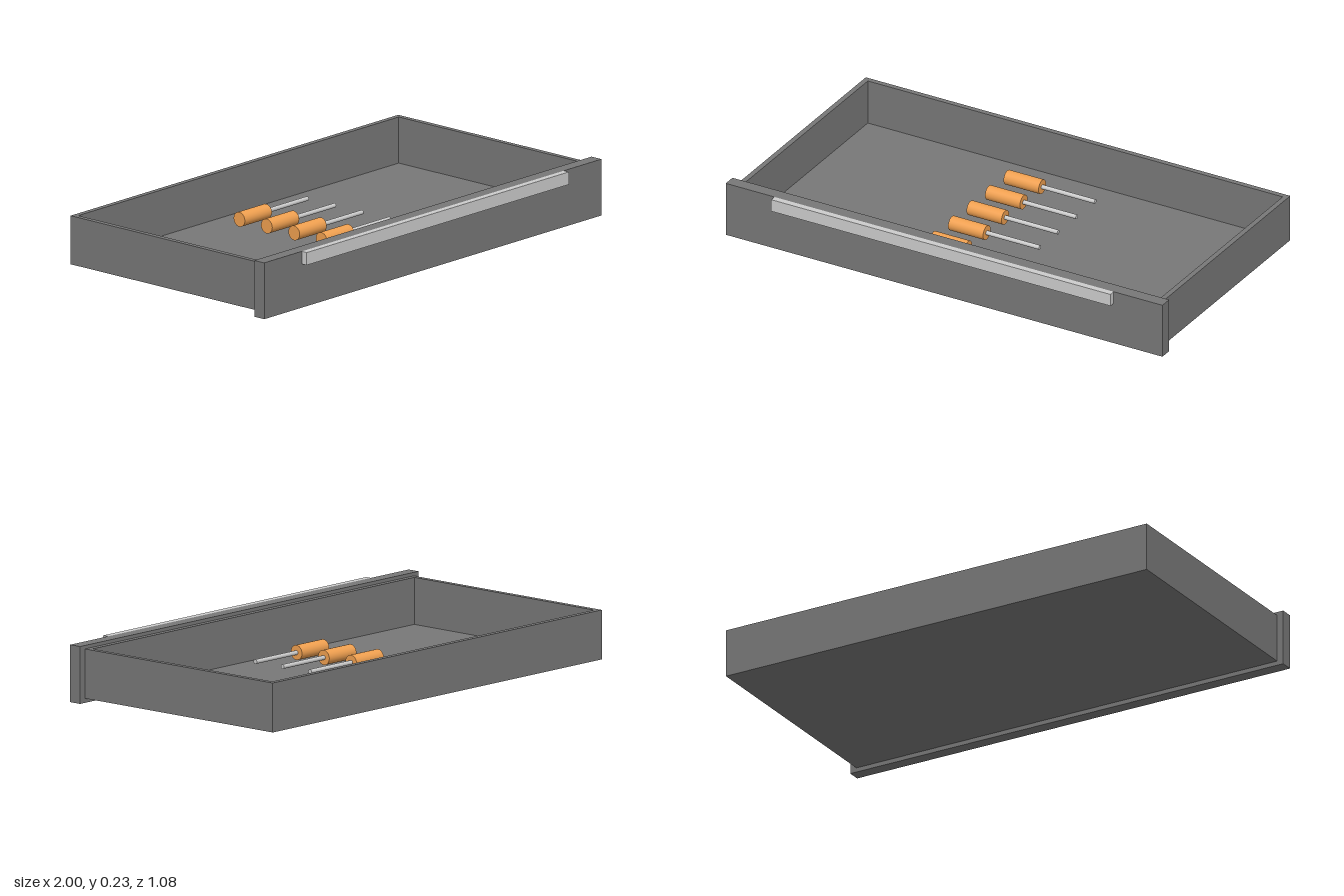
import * as THREE from 'three';

const darkGrey = new THREE.MeshStandardMaterial({ color: 0x777777 });
const lightGrey = new THREE.MeshStandardMaterial({ color: 0xcccccc });
const orange = new THREE.MeshStandardMaterial({ color: 0xf0a050 });

// Box given by its minimum and maximum corners
function box(name, material, min, max) {
  const size = max.map((v, i) => v - min[i]);
  const mesh = new THREE.Mesh(new THREE.BoxGeometry(...size), material);
  mesh.position.set(...max.map((v, i) => (v + min[i]) / 2));
  mesh.name = name;
  return mesh;
}

// Cylinder lying along x from x0 to x1
function rod(name, material, radius, x0, x1) {
  const geometry = new THREE.CylinderGeometry(radius, radius, x1 - x0, 24);
  geometry.rotateZ(-Math.PI / 2);
  geometry.translate((x0 + x1) / 2, 0, 0);
  const mesh = new THREE.Mesh(geometry, material);
  mesh.name = name;
  return mesh;
}

function rectangle(path, x, z0, z1) {
  path.moveTo(-x, z0);
  path.lineTo(x, z0);
  path.lineTo(x, z1);
  path.lineTo(-x, z1);
  path.closePath();
  return path;
}

export function createModel() {
  const group = new THREE.Group();
  group.name = 'drawer';

  const bottom = 0.018, top = 0.218, back = -0.541, front = 0.462, wall = 0.022, halfWidth = 0.972;

  // Four walls as one rectangular ring, extruded upwards
  const ring = rectangle(new THREE.Shape(), halfWidth, -front, -back);
  ring.holes.push(rectangle(new THREE.Path(), halfWidth - wall, -front + wall, -back - wall));
  const wallGeometry = new THREE.ExtrudeGeometry(ring, { depth: top - bottom, bevelEnabled: false });
  wallGeometry.rotateX(-Math.PI / 2);
  const walls = new THREE.Mesh(wallGeometry, darkGrey);
  walls.position.y = bottom;
  walls.name = 'walls';
  group.add(walls);

  // Floor, front panel and pull bar
  const inner = halfWidth - wall;
  group.add(
    box('floor', darkGrey, [-inner, bottom, back + wall], [inner, bottom + 0.01, front - wall]),
    box('frontPanel', darkGrey, [-1, 0, front], [1, 0.232, 0.515]),
    box('pullBar', lightGrey, [-0.777, 0.18, 0.515], [0.777, 0.232, 0.541])
  );

  // Row of five screwdrivers
  for (let i = 0; i < 5; i++) {
    const tool = new THREE.Group();
    tool.name = `screwdriver${i + 1}`;
    tool.add(rod('handle', orange, 0.03, -0.203, -0.043), rod('shaft', lightGrey, 0.009, -0.043, 0.2));
    tool.position.set(0, 0.078, -0.333 + i * 0.1457);
    group.add(tool);
  }

  return group;
}
